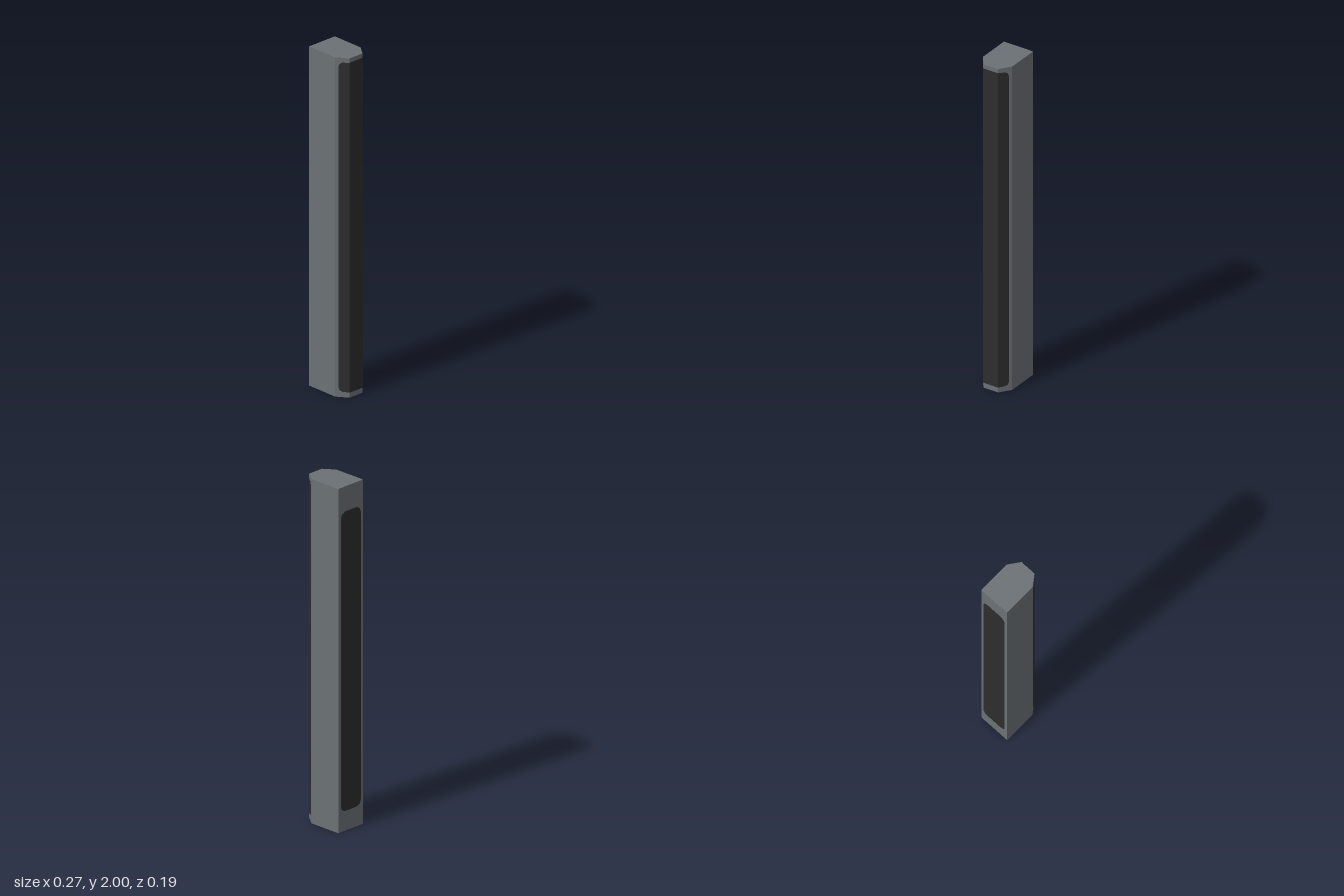
import * as THREE from 'three';

// Vertical strip of faces through columns [x, z, bottom, top], listed left to right as seen from outside
function wrapPanel(columns) {
  const pos = [];
  for (let i = 0; i < columns.length - 1; i++) {
    const [ax, az, a0, a1] = columns[i];
    const [bx, bz, b0, b1] = columns[i + 1];
    pos.push(ax, a0, az, bx, b0, bz, bx, b1, bz);
    pos.push(ax, a0, az, bx, b1, bz, ax, a1, az);
  }
  const geo = new THREE.BufferGeometry();
  geo.setAttribute('position', new THREE.Float32BufferAttribute(pos, 3));
  geo.computeVertexNormals();
  return geo;
}

// Mirrors half of the columns across z = 0
function mirrorColumns(half) {
  return [...half, ...half.slice().reverse().map(([x, z, lo, hi]) => [x, -z, lo, hi])];
}

export function createModel() {
  const group = new THREE.Group();
  const bodyGrey = new THREE.MeshStandardMaterial({ color: 0x6b7175 });
  bodyGrey.name = 'bodyGrey';
  const panelBlack = new THREE.MeshStandardMaterial({ color: 0x2d2d2d });
  panelBlack.name = 'panelBlack';

  const add = (name, geo, mat) => {
    const mesh = new THREE.Mesh(geo, mat);
    mesh.name = name;
    group.add(mesh);
  };

  // Upright bar with two bevelled long edges
  const profile = new THREE.Shape([
    [-0.133, -0.095], [0.067, -0.095], [0.132, -0.048],
    [0.132, 0.048], [0.067, 0.095], [-0.133, 0.095],
  ].map(([x, y]) => new THREE.Vector2(x, y)));
  const bar = new THREE.ExtrudeGeometry(profile, { depth: 2, bevelEnabled: false });
  bar.rotateX(-Math.PI / 2);
  add('bar', bar, bodyGrey);

  // Dark panel wrapped around the bevelled side, with rounded ends
  add('bevelPanel', wrapPanel(mirrorColumns([
    [0.0824, 0.0853, 0.06, 1.945],
    [0.0880, 0.0812, 0.04, 1.963],
    [0.1000, 0.0726, 0.032, 1.972],
    [0.1332, 0.0486, 0.03, 1.975],
  ])), panelBlack);

  // Shorter dark panel on the flat side
  add('flatSidePanel', wrapPanel(mirrorColumns([
    [-0.1345, -0.077, 0.145, 1.82],
    [-0.1345, -0.068, 0.125, 1.843],
    [-0.1345, -0.045, 0.115, 1.855],
  ])), panelBlack);

  return group;
}
